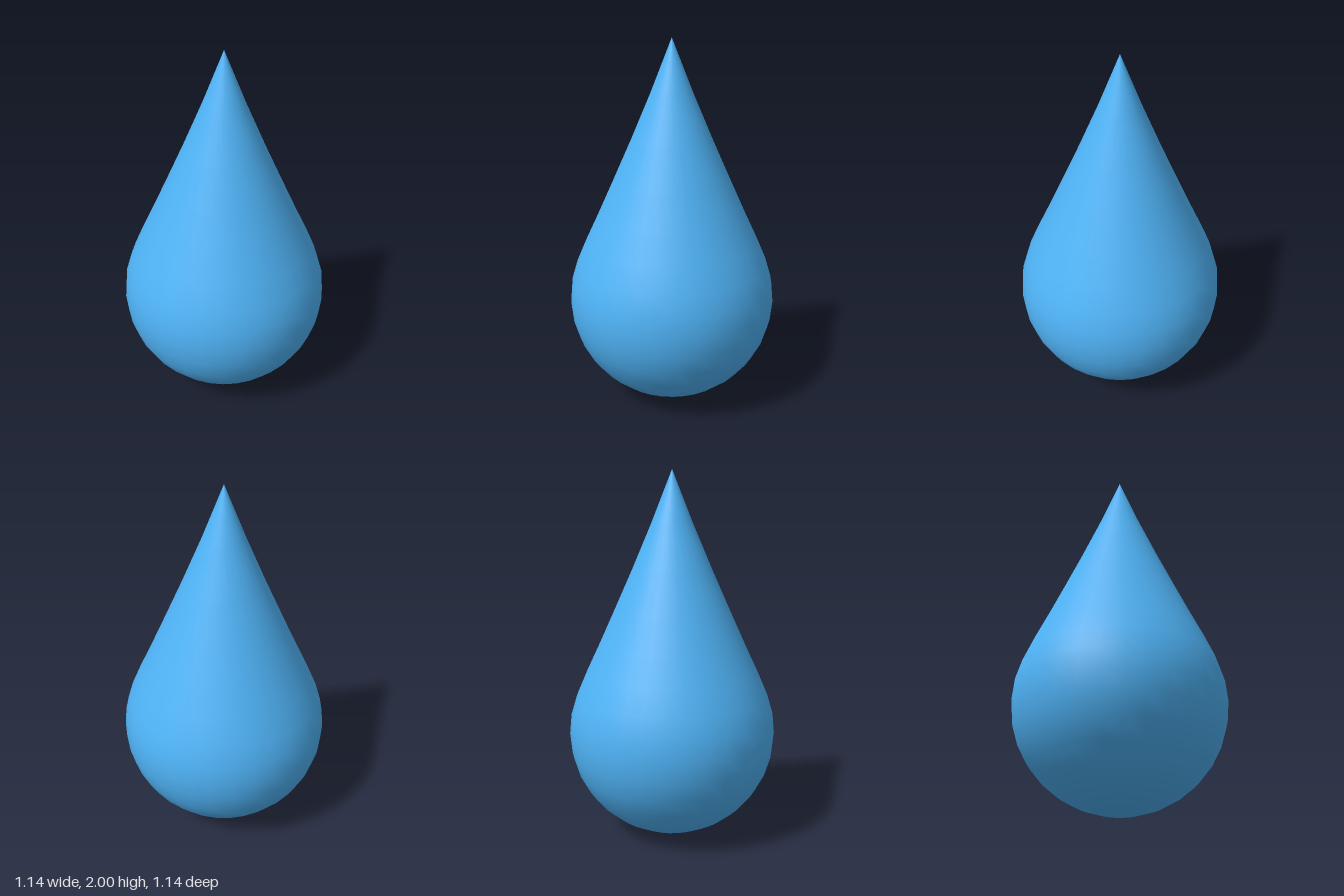
import * as THREE from 'three';

export function createModel() {
  const group = new THREE.Group();
  group.name = 'waterDrop';

  const radius = 0.57, centre = 0.57, rings = 16;
  // heights of the rings drawn up into the tip, above the round belly
  const tipHeights = [0.91, 1.06, 1.25, 1.47, 1.72, 2];

  // profile from the bottom pole to the tip
  const profile = [];
  for (let i = 0; i <= rings; i++) {
    const a = (i / rings) * Math.PI;
    const r = i % rings === 0 ? 0 : radius * Math.sin(a);
    const y = i > 10 ? tipHeights[i - 11] : centre - radius * Math.cos(a);
    profile.push(new THREE.Vector2(r, y));
  }

  // smooth teardrop body
  const drop = new THREE.Mesh(
    new THREE.LatheGeometry(profile, 32),
    new THREE.MeshStandardMaterial({ color: 0x4fb3f6 })
  );
  drop.name = 'drop';
  group.add(drop);
  return group;
}
